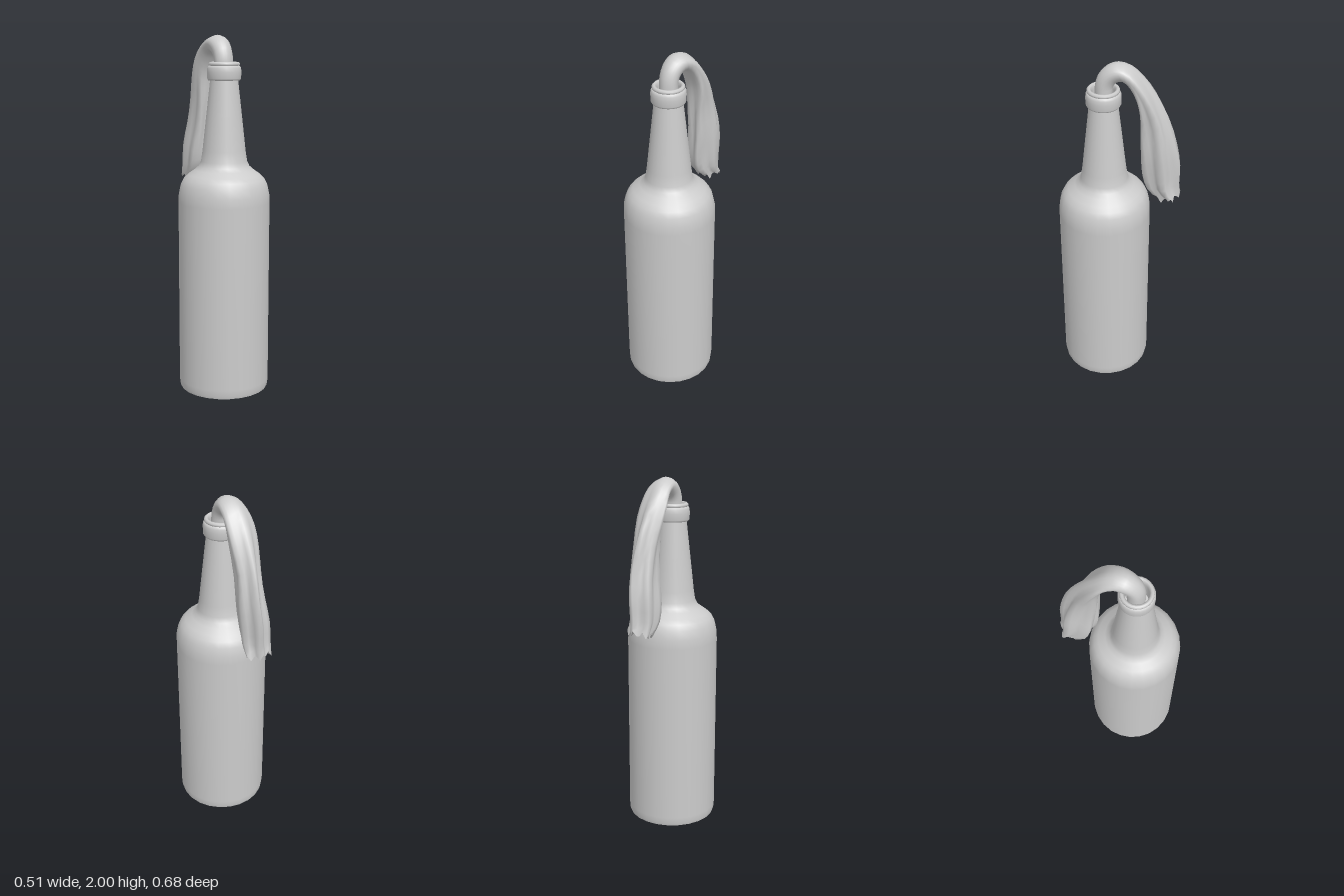
import * as THREE from 'three';

const grey = new THREE.MeshStandardMaterial({ color: 0xcccccc });
const SIDES = 24;
const BOTTLE_Z = 0.083;

function lathe(name, profile) {
  const pts = profile.map(([r, y]) => new THREE.Vector2(r, y));
  const mesh = new THREE.Mesh(new THREE.LatheGeometry(pts, SIDES), grey);
  mesh.name = name;
  mesh.position.z = BOTTLE_Z;
  return mesh;
}

// Rag: cross-sections strung between an outer and an inner edge line.
// Each row: outer z, outer y, inner z, inner y, min x, max x
const RAG = [
  [0.125, 1.72, 0.035, 1.72, -0.05, 0.05],
  [0.127, 1.86, 0.033, 1.86, -0.055, 0.05],
  [0.108, 1.93, 0.022, 1.885, -0.058, 0.05],
  [0.065, 1.98, 0.005, 1.9, -0.065, 0.052],
  [0.01, 2.0, -0.025, 1.905, -0.072, 0.055],
  [-0.06, 1.98, -0.06, 1.87, -0.085, 0.06],
  [-0.12, 1.925, -0.095, 1.79, -0.1, 0.065],
  [-0.19, 1.83, -0.105, 1.7, -0.1, 0.062],
  [-0.26, 1.69, -0.105, 1.59, -0.092, 0.048],
  [-0.31, 1.53, -0.11, 1.45, -0.1, 0.05],
  [-0.335, 1.39, -0.117, 1.33, -0.118, 0.042],
  [-0.333, 1.27, -0.145, 1.24, -0.122, 0.035],
  [-0.338, 1.2, -0.215, 1.17, -0.12, 0.03],
];

function ragGeometry() {
  const outer = new THREE.CatmullRomCurve3(RAG.map(r => new THREE.Vector3(r[4], r[1], r[0])));
  const inner = new THREE.CatmullRomCurve3(RAG.map(r => new THREE.Vector3(r[5], r[3], r[2])));
  const rows = 24, n = 24, pos = [], idx = [];
  const o = new THREE.Vector3(), i = new THREE.Vector3();
  for (let k = 0; k <= rows; k++) {
    const t = k / rows;
    outer.getPoint(t, o);
    inner.getPoint(t, i);
    const cx = (o.x + i.x) / 2, w = (i.x - o.x) / 2;
    const cy = (o.y + i.y) / 2, hy = (o.y - i.y) / 2;
    const cz = (o.z + i.z) / 2, hz = (o.z - i.z) / 2;
    // Folds deepen towards the loose end and twist slightly
    const depth = 0.04 + 0.3 * THREE.MathUtils.smoothstep(t, 0.3, 0.75);
    for (let j = 0; j < n; j++) {
      const a = j / n * Math.PI * 2;
      const fold = 0.5 - 0.5 * Math.cos(5 * (a - Math.PI / 2) + 0.9 * Math.sin(t * 9));
      const s = 1.03 - depth * fold;
      // Ragged hem
      const jag = k === rows ? 0.018 * Math.sin(j * 2.3) : 0;
      pos.push(cx + w * s * Math.cos(a), cy + hy * s * Math.sin(a) + jag, cz + hz * s * Math.sin(a));
      if (k < rows) {
        const p = k * n + j, q = k * n + (j + 1) % n;
        idx.push(p, p + n, q, q, p + n, q + n);
      }
    }
  }
  // Hem closed by a fan tucked up inside; its own ring keeps the edge sharp
  const ring = pos.slice(-n * 3), base = pos.length / 3;
  pos.push(...ring, (o.x + i.x) / 2, (o.y + i.y) / 2 + 0.04, (o.z + i.z) / 2);
  for (let j = 0; j < n; j++) idx.push(base + n, base + (j + 1) % n, base + j);

  const geo = new THREE.BufferGeometry();
  geo.setAttribute('position', new THREE.Float32BufferAttribute(pos, 3));
  geo.setIndex(idx);
  geo.computeVertexNormals();
  return geo;
}

export function createModel() {
  const group = new THREE.Group();
  group.name = 'bottleWithRag';

  group.add(
    // Recessed underside
    lathe('baseFloor', [[0, 0.08], [0.25, 0.08]]),
    lathe('baseRecessWall', [[0.25, 0.08], [0.25, 0]]),
    // Body, shoulder and neck
    lathe('bottleBody', [
      [0.25, 0], [0.254, 0.015], [0.257, 0.05], [0.257, 1.08], [0.255, 1.13],
      [0.244, 1.18], [0.227, 1.212], [0.203, 1.236], [0.165, 1.262], [0.143, 1.282],
      [0.13, 1.31], [0.121, 1.37], [0.1, 1.56], [0.077, 1.765],
    ]),
    // Collar ring below the lip
    lathe('collar', [
      [0.074, 1.755], [0.088, 1.756], [0.094, 1.766], [0.095, 1.8],
      [0.094, 1.822], [0.088, 1.833], [0.08, 1.836],
    ]),
    // Rounded lip and inside of the mouth
    lathe('lip', [
      [0.08, 1.833], [0.087, 1.838], [0.087, 1.848], [0.08, 1.855], [0.072, 1.855],
      [0.065, 1.848], [0.062, 1.83], [0.062, 1.73],
    ]),
    lathe('mouthFloor', [[0.062, 1.73], [0, 1.73]]),
  );

  const rag = new THREE.Mesh(ragGeometry(), grey);
  rag.name = 'rag';
  group.add(rag);
  return group;
}
